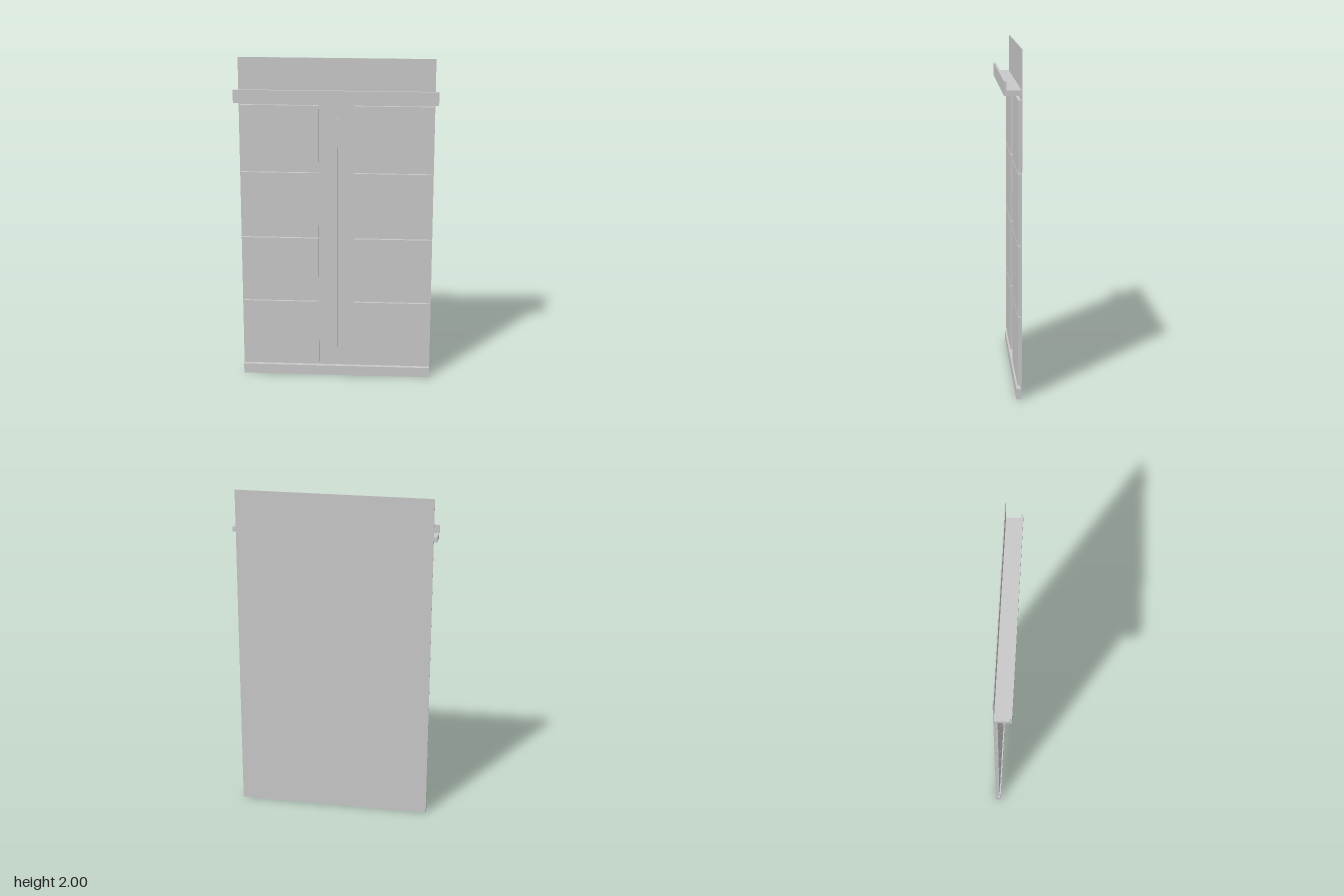
import * as THREE from 'three';

export function createModel() {
  const model = new THREE.Group();
  model.name = 'wallPanel';
  const grey = new THREE.MeshStandardMaterial({ color: 0xc8c8c8 });
  grey.name = 'light grey';

  // Box given by its minimum and maximum on each axis
  function slab(name, [x0, x1], [y0, y1], [z0, z1], parent = model) {
    const mesh = new THREE.Mesh(new THREE.BoxGeometry(x1 - x0, y1 - y0, z1 - z0), grey);
    mesh.position.set((x0 + x1) / 2, (y0 + y1) / 2, (z0 + z1) / 2);
    mesh.name = name;
    parent.add(mesh);
  }

  const face = -0.046; // front of the backing sheet

  slab('backingSheet', [-0.58, 0.58], [0, 2], [-0.051, face]);
  slab('baseboard', [-0.58, 0.58], [0, 0.062], [face, -0.021]);
  slab('centreStrip', [-0.008, 0.008], [0.182, 1.641], [face, -0.033]);

  // Two mirrored columns of four raised panels
  const panels = new THREE.Group();
  panels.name = 'raisedPanels';
  model.add(panels);
  for (const side of [-1, 1]) {
    for (let row = 0; row < 4; row++) {
      const y = 0.081 + row * 0.411;
      const xs = side > 0 ? [0.108, 0.577] : [-0.577, -0.108];
      slab('raisedPanel', xs, [y, y + 0.405], [face, -0.028], panels);
    }
  }

  // L-shaped ledge with an upright front lip
  const profile = new THREE.Shape([
    [face, 1.746], [0.051, 1.746], [0.051, 1.825],
    [0.037, 1.825], [0.037, 1.776], [face, 1.776],
  ].map(([z, y]) => new THREE.Vector2(-z, y)));
  const ledgeGeometry = new THREE.ExtrudeGeometry(profile, { depth: 1.2, bevelEnabled: false });
  ledgeGeometry.translate(0, 0, -0.6).rotateY(Math.PI / 2);
  const ledge = new THREE.Mesh(ledgeGeometry, grey);
  ledge.name = 'ledge';
  model.add(ledge);

  return model;
}
